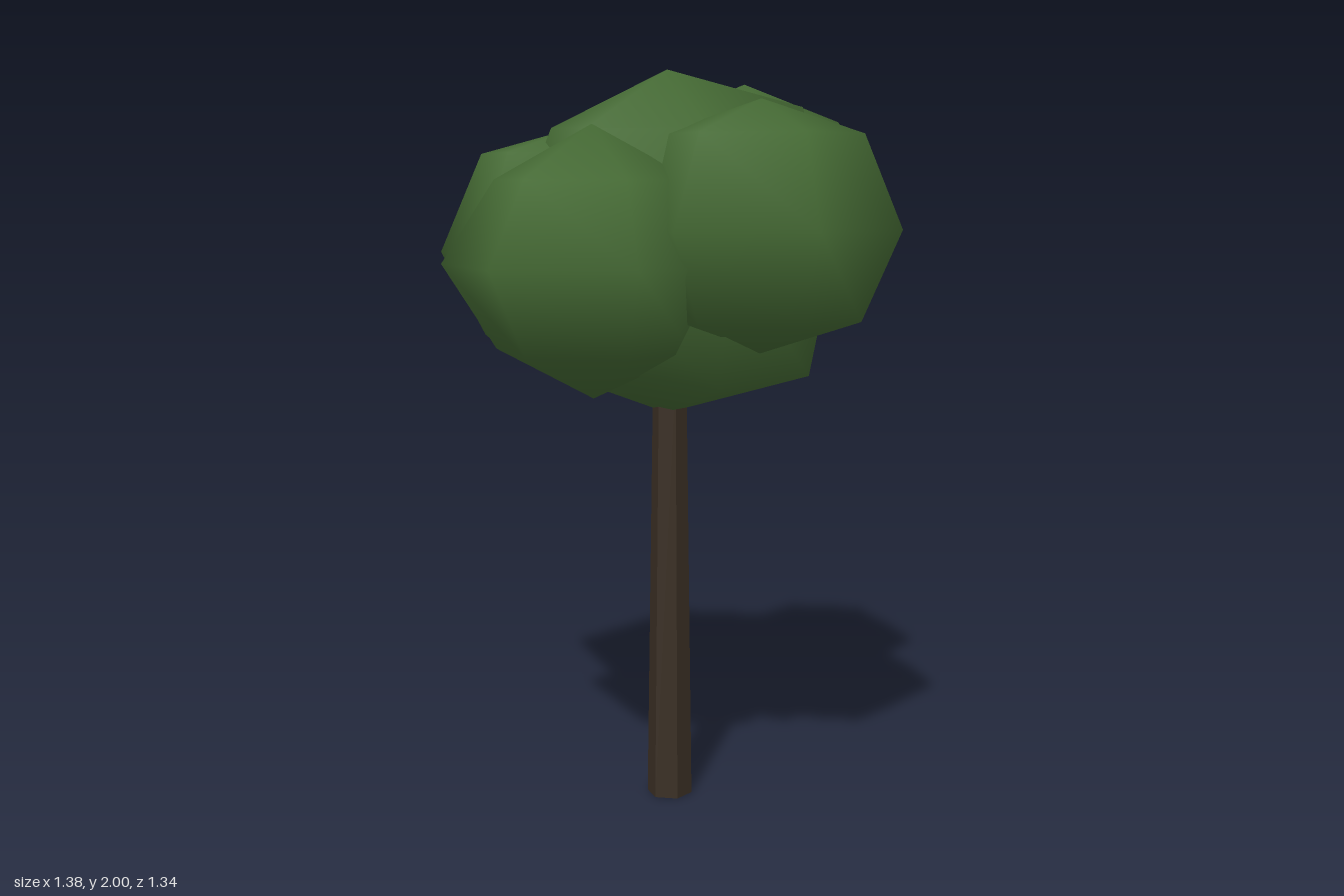
import * as THREE from 'three';
import { mergeVertices } from 'three/addons/utils/BufferGeometryUtils.js';

const foliage = new THREE.MeshStandardMaterial({ color: 0x456a34 });
foliage.name = 'leaf green';
const bark = new THREE.MeshStandardMaterial({ color: 0x392e23, flatShading: true });
bark.name = 'bark brown';

// Leaf clump: a six-sided, four-ring ball whose rows are [radius, height], top to bottom.
// Nudges [row, corner, dx, dy, dz] make it uneven; corner 0 points to -x, 1 and 2 to the front.
function clump(name, x, z, stretchZ, rows, nudges) {
  const geo = new THREE.SphereGeometry(1, 6, 4);
  const pos = geo.attributes.position;
  for (let i = 0; i < pos.count; i++) {
    const row = Math.floor(i / 7), corner = (i % 7) % 6;
    const [radius, y] = rows[row];
    const angle = corner * Math.PI / 3;
    const p = new THREE.Vector3(-radius * Math.cos(angle), y, radius * Math.sin(angle) * stretchZ);
    for (const [r, c, dx, dy, dz] of nudges) {
      if (r === row && c === corner) p.add(new THREE.Vector3(dx, dy, dz));
    }
    pos.setXYZ(i, p.x, p.y, p.z);
  }
  // Weld the seam and poles so the shading runs smoothly all round
  geo.deleteAttribute('uv');
  geo.deleteAttribute('normal');
  const smooth = mergeVertices(geo, 1e-4);
  smooth.computeVertexNormals();
  const mesh = new THREE.Mesh(smooth, foliage);
  mesh.name = name;
  mesh.position.set(x, 0, z);
  return mesh;
}

export function createModel() {
  const tree = new THREE.Group();
  tree.name = 'tree';

  // Tapered six-sided trunk with a flat face to the front
  const trunkGeo = new THREE.CylinderGeometry(0.046, 0.063, 1.2, 6);
  trunkGeo.rotateY(Math.PI / 6);
  const trunk = new THREE.Mesh(trunkGeo, bark);
  trunk.name = 'trunk';
  trunk.position.set(0.002, 0.6, 0.008);
  tree.add(trunk);

  // Crown: one central clump, sunken towards -x, with four around it
  tree.add(
    clump('centreFoliage', 0, 0, 1,
      [[0, 2.0], [0.36, 1.9], [0.45, 1.53], [0.365, 1.205], [0, 1.085]],
      [[1, 0, 0.04, -0.06, 0], [1, 1, 0.03, -0.06, -0.05], [1, 5, 0.02, -0.05, 0.04],
        [1, 3, -0.02, -0.02, 0], [3, 0, 0.03, 0.04, 0],
        [3, 1, -0.02, -0.01, 0.025], [3, 2, 0, -0.01, 0.025]]),
    clump('leftFoliage', 0.32, 0.015, 1.02,
      [[0, 1.975], [0.26, 1.87], [0.365, 1.625], [0.285, 1.36], [0, 1.285]],
      [[2, 2, 0.01, 0, 0], [2, 4, 0.01, 0, 0], [3, 3, 0.01, -0.005, 0]]),
    clump('rightFoliage', -0.325, 0.025, 1.06,
      [[0, 1.85], [0.245, 1.713], [0.365, 1.5], [0.245, 1.283], [0, 1.16]],
      [[2, 1, -0.025, 0, 0], [2, 5, -0.025, 0, 0]]),
    clump('frontFoliage', -0.055, 0.35, 1.04,
      [[0, 1.912], [0.25, 1.825], [0.345, 1.59], [0.25, 1.36], [0, 1.275]],
      [[2, 1, -0.02, 0, 0.005]]),
    clump('backFoliage', 0, -0.31, 1,
      [[0, 1.86], [0.288, 1.785], [0.405, 1.51], [0.285, 1.245], [0, 1.163]],
      [[2, 5, 0, 0, -0.01], [2, 4, -0.01, 0, 0], [3, 5, 0, 0.03, 0]])
  );
  return tree;
}
